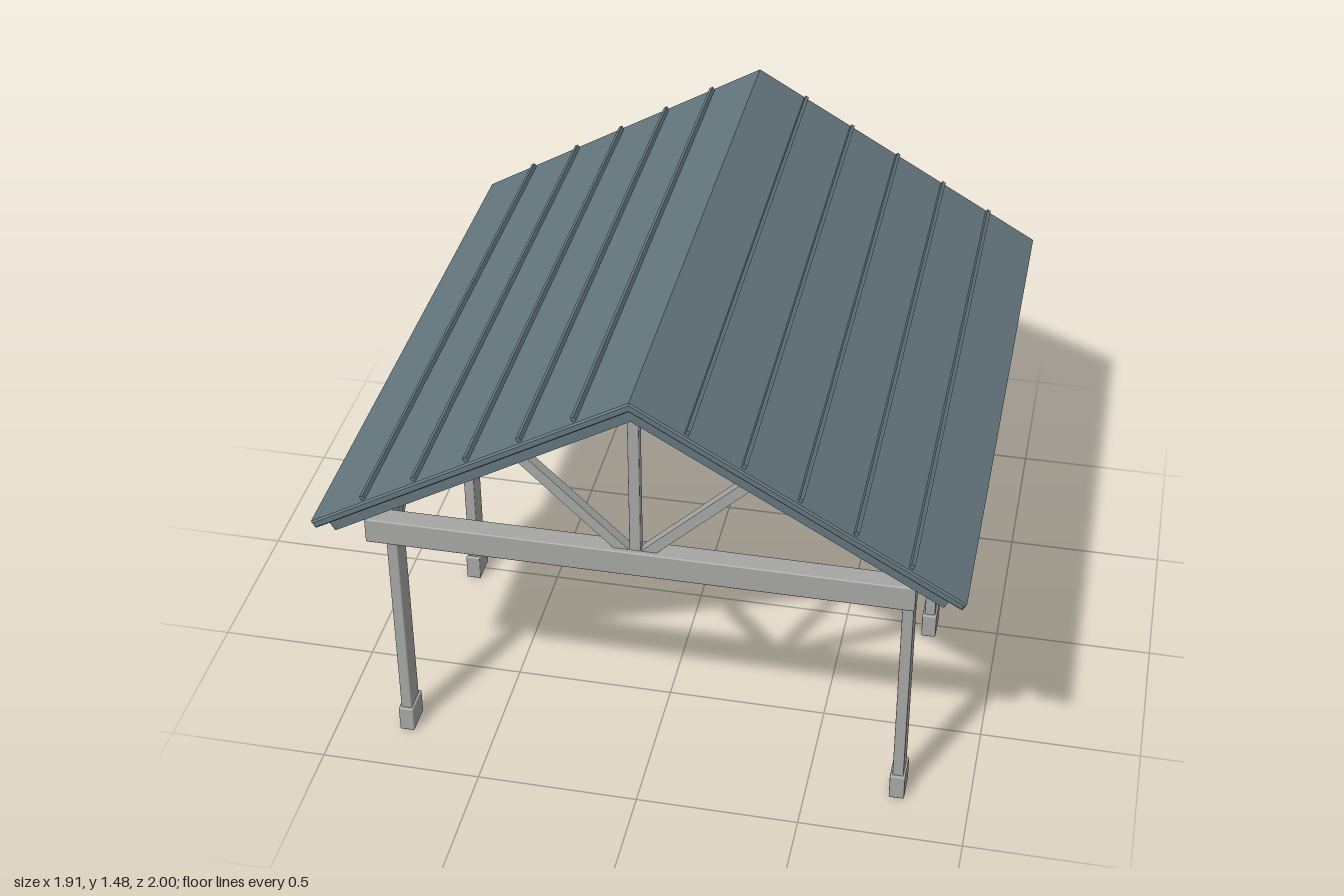
import * as THREE from 'three';
import { RoundedBoxGeometry } from 'three/addons/geometries/RoundedBoxGeometry.js';

const TAN = Math.tan(Math.PI / 6); // roof pitch of 30 degrees

export function createModel() {
  const root = new THREE.Group();
  root.name = 'pavilion';
  const timber = new THREE.MeshStandardMaterial({ name: 'grey timber', color: 0xa6a6a5 });
  const metal = new THREE.MeshStandardMaterial({ name: 'slate blue roofing', color: 0x63757d });

  const add = (name, geometry, material, parent = root) => {
    const mesh = new THREE.Mesh(geometry, material);
    mesh.name = name;
    parent.add(mesh);
    return mesh;
  };

  // Chamfered timber given by size and centre
  const block = (name, w, h, d, x, y, z, parent = root) => {
    const mesh = add(name, new RoundedBoxGeometry(w, h, d, 1, 0.004), timber, parent);
    mesh.position.set(x, y, z);
    return mesh;
  };

  // Square-cut timber running between two points
  const strut = (name, a, b, w, d, parent) => {
    const from = new THREE.Vector3(...a), to = new THREE.Vector3(...b);
    const dir = to.clone().sub(from);
    const mesh = add(name, new THREE.BoxGeometry(w, dir.length(), d), timber, parent);
    mesh.position.copy(from).add(to).multiplyScalar(0.5);
    mesh.quaternion.setFromUnitVectors(new THREE.Vector3(0, 1, 0), dir.normalize());
    return mesh;
  };

  // Folded roof layer with ends cut square to the slope
  const roofLayer = (name, apex, halfWidth, rise, halfLength, bevel) => {
    const top = apex - halfWidth * TAN;
    const thick = rise * Math.cos(Math.PI / 6);
    const inX = halfWidth - thick * 0.5;
    const lowY = top - thick * Math.cos(Math.PI / 6);
    const shape = new THREE.Shape([
      [0, apex], [-halfWidth, top], [-inX, lowY],
      [0, apex - rise], [inX, lowY], [halfWidth, top],
    ].map(([x, y]) => new THREE.Vector2(x, y)));
    const geometry = new THREE.ExtrudeGeometry(shape, {
      depth: 2 * (halfLength - bevel),
      bevelEnabled: bevel > 0, bevelSegments: 1,
      bevelSize: bevel, bevelThickness: bevel, bevelOffset: -bevel,
    });
    geometry.translate(0, 0, -(halfLength - bevel));
    add(name, geometry, metal);
  };
  roofLayer('roofSheet', 1.477, 0.957, 0.03, 1, 0.005);
  roofLayer('roofDeck', 1.449, 0.912, 0.047, 0.977, 0);

  // Raised seams on both slopes
  for (const side of [-1, 1]) {
    for (let i = 1; i <= 5; i++) {
      const x = i * 0.159;
      const seam = add('roofSeam', new THREE.BoxGeometry(0.012, 0.022, 1.97), metal);
      seam.position.set(side * x, 1.477 - x * TAN + 0.003, 0);
      seam.rotation.z = -side * Math.PI / 6;
    }
  }

  // Side beams, posts with footings, and knee braces
  for (const side of [-1, 1]) {
    const x = side * 0.778;
    block('sideBeam', 0.05, 0.08, 1.86, x, 0.893, 0.003);
    for (const z of [0.788, 0.011, -0.766]) {
      const post = new THREE.Group();
      post.name = 'post';
      post.position.set(x, 0, z);
      root.add(post);
      block('postShaft', 0.034, 0.8, 0.078, 0, 0.456, 0, post);
      block('postFooting', 0.047, 0.086, 0.098, 0, 0.043, 0, post);
      for (const dir of [-1, 1]) {
        strut('kneeBrace', [0, 0.758, dir * 0.03], [0, 0.868, dir * 0.14], 0.02, 0.028, post);
      }
    }
  }

  // Gable trusses at both ends
  for (const z of [0.938, -0.932]) {
    const truss = new THREE.Group();
    truss.name = 'gableTruss';
    truss.position.z = z;
    root.add(truss);
    block('crossBeam', 1.615, 0.082, 0.064, 0.003, 0.894, 0, truss);
    block('kingPost', 0.033, 0.49, 0.033, 0, 1.175, 0, truss);
    for (const side of [-1, 1]) {
      strut('webStrut', [side * 0.025, 0.92, 0], [side * 0.335, 1.22, 0], 0.032, 0.033, truss);
    }
  }

  // Slim tie between the middle posts
  block('middleTie', 1.53, 0.045, 0.035, 0, 0.885, 0.011);

  return root;
}
